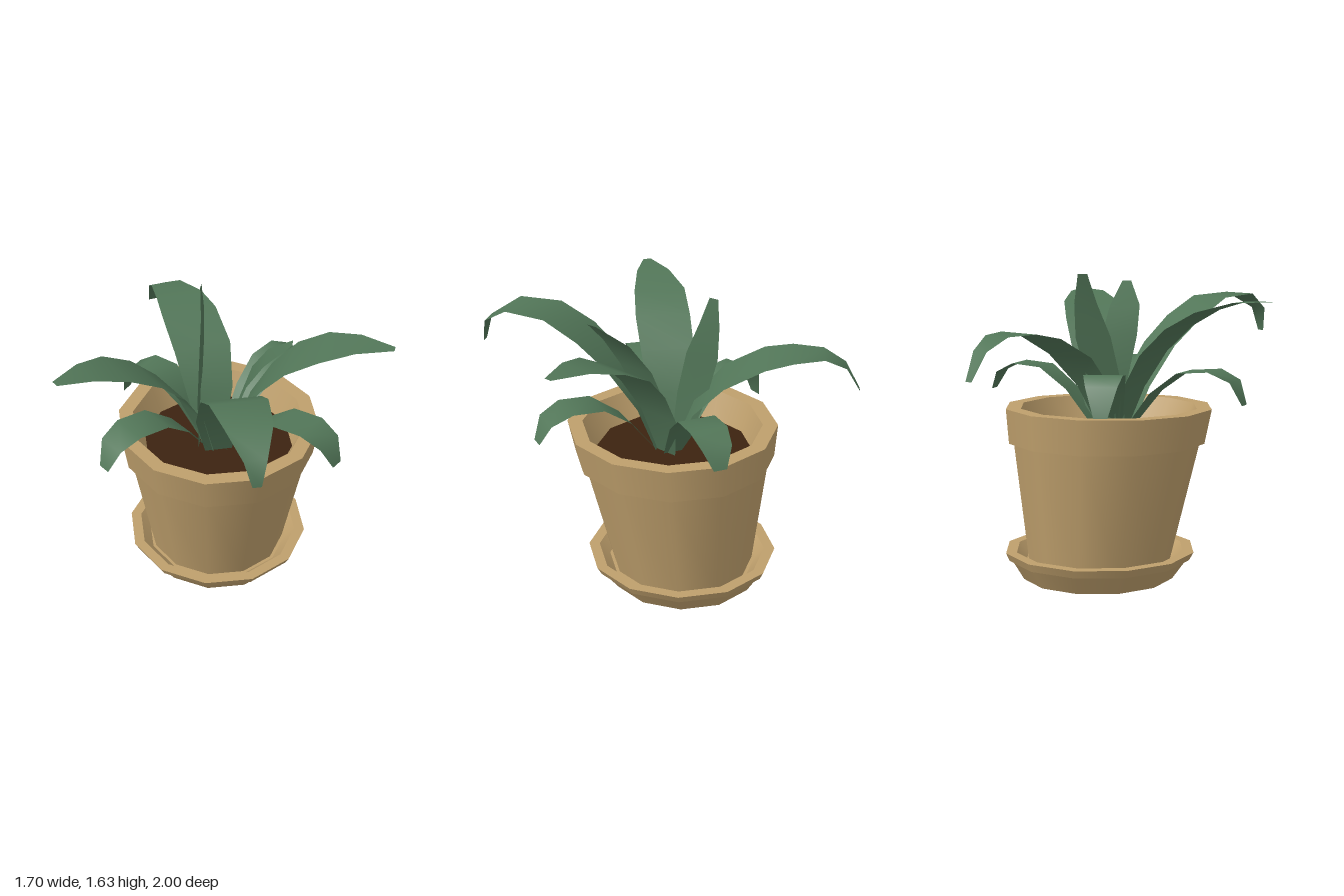
import * as THREE from 'three';
import { mergeGeometries } from 'three/addons/utils/BufferGeometryUtils.js';

const clay = new THREE.MeshStandardMaterial({ color: 0xbe9f6c });
clay.name = 'clay';
const earth = new THREE.MeshStandardMaterial({ color: 0x3c2310 });
earth.name = 'earth';
const green = new THREE.MeshStandardMaterial({ color: 0x527658, side: THREE.DoubleSide });
green.name = 'leafGreen';

// The pot leans a little: scale z, shear z with height and y with depth
const lean = new THREE.Matrix4().set(
  1, 0, 0, 0,
  0, 1, -0.01, 0.004,
  0, 0.075, 1.04, -0.12,
  0, 0, 0, 1);

// Twelve-sided turned part with a crisp edge between profile bands;
// radii are measured to the middle of the sides
function turned(name, profile, material) {
  const pts = profile.map(([r, y]) => new THREE.Vector2(r / Math.cos(Math.PI / 12), y));
  const bands = [];
  for (let i = 0; i < pts.length - 1; i++) {
    bands.push(new THREE.LatheGeometry([pts[i], pts[i + 1]], 12, Math.PI / 12));
  }
  const mesh = new THREE.Mesh(mergeGeometries(bands).applyMatrix4(lean), material);
  mesh.name = name;
  return mesh;
}

// Flat strip along a spine of [x, y, z, halfWidth] rows;
// it spreads sideways to its heading unless a side direction is given
function leaf(name, rows, side) {
  const a = rows[0], b = rows[rows.length - 1];
  const s = side ? new THREE.Vector3(...side) : new THREE.Vector3(b[2] - a[2], 0, a[0] - b[0]);
  s.normalize();
  const pos = [], idx = [];
  rows.forEach(([x, y, z, w], i) => {
    pos.push(x - s.x * w, y - s.y * w, z - s.z * w, x + s.x * w, y + s.y * w, z + s.z * w);
    if (i) {
      const k = 2 * i;
      idx.push(k - 2, k - 1, k + 1, k - 2, k + 1, k);
    }
  });
  const g = new THREE.BufferGeometry();
  g.setAttribute('position', new THREE.Float32BufferAttribute(pos, 3));
  // wind so that the upper face is the front
  g.setIndex(idx.reverse());
  g.computeVertexNormals();
  if (g.attributes.normal.getY(2) < 0) {
    g.setIndex(idx.reverse());
    g.computeVertexNormals();
  }
  const mesh = new THREE.Mesh(g, green);
  mesh.name = name;
  return mesh;
}

export function createModel() {
  const model = new THREE.Group();
  model.name = 'pottedPlant';

  // Saucer, pot and soil
  model.add(turned('saucer', [[0, 0], [0.385, 0], [0.45, 0.105], [0.465, 0.105],
    [0.485, 0.148], [0.43, 0.148], [0.38, 0.09], [0, 0.09]], clay));
  model.add(turned('pot', [[0.362, 0.08], [0.475, 0.735], [0.5, 0.735], [0.525, 0.918],
    [0.45, 0.918], [0.375, 0.73]], clay));
  model.add(turned('soil', [[0.39, 0.77], [0, 0.77]], earth));

  const leaves = new THREE.Group();
  leaves.name = 'leaves';
  model.add(leaves);

  // Long arching leaves
  leaves.add(leaf('backLeaf', [[-0.03, 0.76, -0.06, 0.06], [-0.03, 1.03, -0.16, 0.13],
    [-0.05, 1.21, -0.32, 0.16], [-0.1, 1.32, -0.52, 0.155], [-0.14, 1.35, -0.66, 0.13],
    [-0.2, 1.345, -0.81, 0.085], [-0.24, 1.28, -0.92, 0.05], [-0.265, 1.14, -0.995, 0.022]]));
  leaves.add(leaf('frontLeaf', [[-0.01, 0.76, 0.02, 0.07], [-0.01, 1.03, 0.11, 0.13],
    [0, 1.24, 0.27, 0.14], [0, 1.38, 0.43, 0.15], [0.01, 1.485, 0.61, 0.142],
    [0.025, 1.5, 0.83, 0.115], [0.035, 1.41, 0.975, 0.055], [0.04, 1.28, 1, 0.022]]));
  leaves.add(leaf('rightLeaf', [[-0.06, 0.76, -0.02, 0.06], [-0.15, 1.03, 0.01, 0.12],
    [-0.26, 1.22, 0.06, 0.145], [-0.39, 1.36, 0.13, 0.15], [-0.54, 1.45, 0.2, 0.14],
    [-0.69, 1.5, 0.29, 0.09], [-0.84, 1.505, 0.375, 0.022]]));
  leaves.add(leaf('leftLeaf', [[0.06, 0.76, -0.04, 0.06], [0.14, 1.03, -0.02, 0.12],
    [0.24, 1.22, 0.03, 0.15], [0.36, 1.36, 0.08, 0.165], [0.51, 1.45, 0.14, 0.155],
    [0.67, 1.5, 0.21, 0.095], [0.838, 1.505, 0.285, 0.02]]));

  // Upright blades
  leaves.add(leaf('tallBlade', [[-0.1, 0.76, -0.06, 0.05], [-0.09, 1.05, -0.13, 0.09],
    [-0.07, 1.3, -0.19, 0.095], [-0.06, 1.48, -0.23, 0.06], [-0.065, 1.63, -0.25, 0.025]],
  [0.25, 0, -0.97]));
  leaves.add(leaf('sideBlade', [[0.05, 0.76, -0.03, 0.05], [0.09, 1.05, 0.02, 0.09],
    [0.14, 1.28, 0.1, 0.1], [0.21, 1.44, 0.18, 0.085], [0.325, 1.57, 0.265, 0.025]],
  [-0.3, 0, 0.95]));

  // Short drooping leaves: heading x, z and tip height
  const low = [
    ['lowLeafBackLeft', 0.53, -0.47, 0.99], ['lowLeafFrontLeft', 0.53, 0.5, 0.98],
    ['lowLeafFrontRight', -0.635, 0.37, 0.97], ['lowLeafBackRight', -0.465, -0.385, 0.94]];
  for (const [name, x, z, tip] of low) {
    const steps = [[0.08, 0.76, 0.05], [0.34, 1.01, 0.085], [0.55, 1.125, 0.1],
      [0.78, 1.14, 0.1], [0.93, 1.09, 0.08], [1, tip, 0.035]];
    leaves.add(leaf(name, steps.map(([t, y, w]) => [x * t, y, z * t - 0.03 * (1 - t), w])));
  }
  return model;
}
